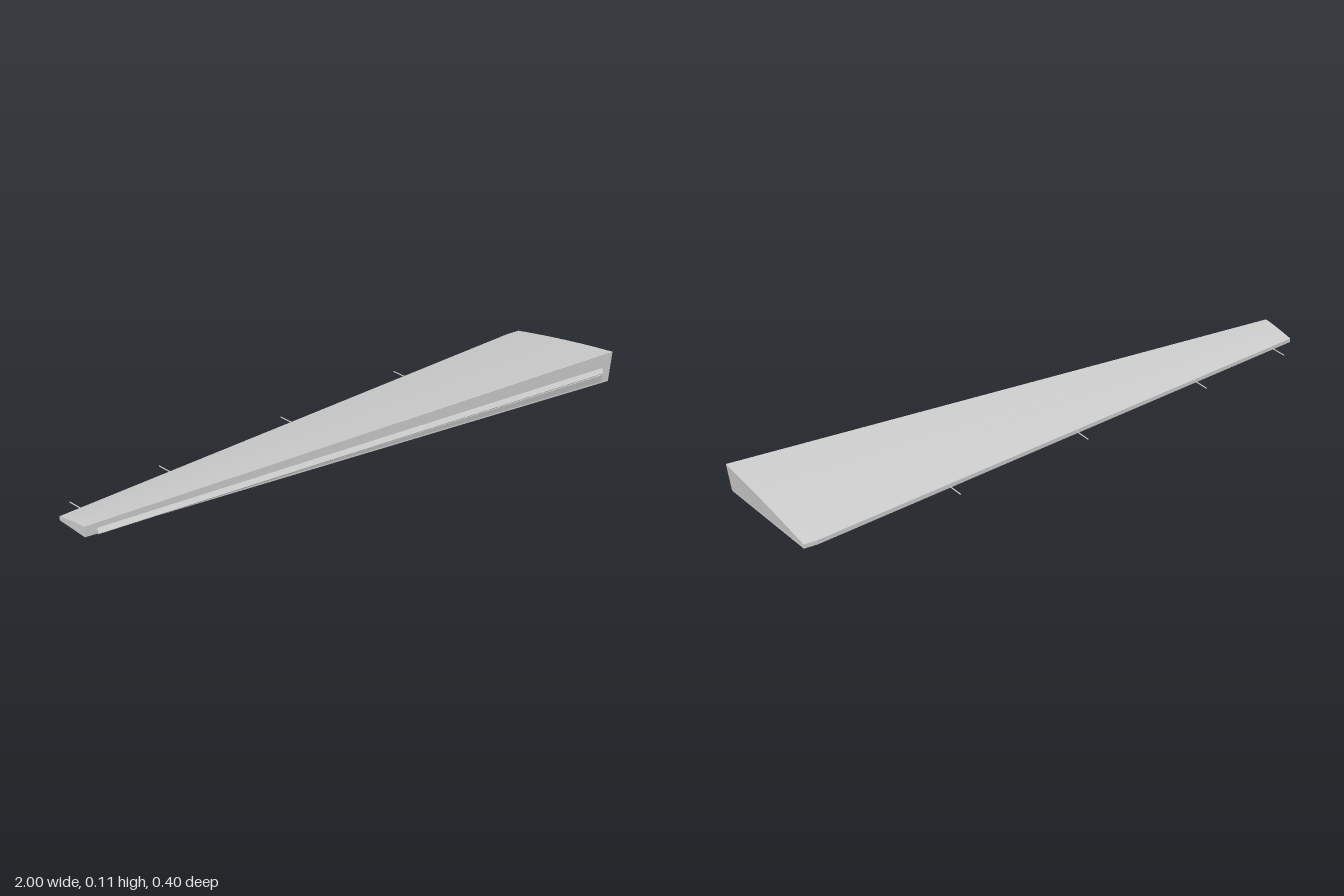
import * as THREE from 'three';

// Skin a closed solid through matching cross-sections ordered from -x to +x.
// Each ring runs bottom front, top front, then back along the top.
function loft(rings) {
  const n = rings[0].length, pos = [];
  const tri = (a, b, c) => pos.push(...a, ...b, ...c);
  for (let i = 0; i < rings.length - 1; i++) {
    for (let j = 0; j < n; j++) {
      const k = (j + 1) % n, p = rings[i], q = rings[i + 1];
      tri(p[j], q[j], q[k]);
      tri(p[j], q[k], p[k]);
    }
  }
  const first = rings[0], last = rings[rings.length - 1];
  for (let j = 1; j < n - 1; j++) {
    tri(first[0], first[j], first[j + 1]);
    tri(last[0], last[j + 1], last[j]);
  }
  const g = new THREE.BufferGeometry();
  g.setAttribute('position', new THREE.Float32BufferAttribute(pos, 3));
  g.computeVertexNormals();
  return g;
}

export function createModel() {
  const model = new THREE.Group();
  const grey = new THREE.MeshStandardMaterial({ color: 0xcccccc });
  grey.name = 'light grey';
  const add = (name, geometry) => {
    const mesh = new THREE.Mesh(geometry, grey);
    mesh.name = name;
    model.add(mesh);
    return mesh;
  };

  // Wedge section: blunt leading face, gently domed top, thin trailing edge
  const section = (lead, trail, domed) => {
    const ring = [[lead.x0, lead.y0, 0.19]];
    for (let i = 0; i <= 6; i++) {
      const t = i / 6, mix = THREE.MathUtils.lerp;
      ring.push([mix(lead.x1, trail.x, t),
        mix(lead.y1, trail.y1, t) + domed * 4 * t * (1 - t), mix(0.19, trail.z, t)]);
    }
    ring.push([trail.x, trail.y0, trail.z]);
    return ring;
  };
  add('panel', loft([
    section({ x0: -0.97, x1: -0.97, y0: 0.04, y1: 0.078 }, { x: -1, y0: 0.045, y1: 0.06, z: 0.075 }, 0.002),
    section({ x0: 0.945, x1: 0.95, y0: 0.001, y1: 0.111 }, { x: 0.845, y0: 0.025, y1: 0.042, z: -0.2 }, 0.005),
    section({ x0: 0.99, x1: 1, y0: 0, y1: 0.112 }, { x: 0.89, y0: 0.025, y1: 0.042, z: -0.2 }, 0.005),
  ]));

  // Ridged rail along the leading face, with a shallow fairing beneath it
  const rail = x => [[x, 0.04, 0.188], [x, 0.041, 0.198], [x, 0.045, 0.201], [x, 0.06, 0.19], [x, 0.06, 0.188]];
  add('leadingRail', loft([rail(-0.93), rail(0.96)]));
  const fairing = (x, low, mid, high) => [[x, low, 0.189], [x, mid, 0.196], [x, high, 0.189]];
  add('lowerFairing', loft([fairing(-0.93, 0.039, 0.041, 0.05), fairing(0.96, 0.002, 0.036, 0.045)]));

  // Thin rods trailing from the rear edge
  [-0.92, -0.59, -0.11, 0.375].forEach(x => {
    const t = (x + 1) / 1.845;
    const z = 0.075 - 0.275 * t, y = 0.0525 - 0.019 * t;
    const path = new THREE.LineCurve3(
      new THREE.Vector3(x + 0.002, y, z + 0.008), new THREE.Vector3(x - 0.016, y, z - 0.055));
    add('trailingRod', new THREE.TubeGeometry(path, 1, 0.002, 6, false));
  });

  return model;
}
